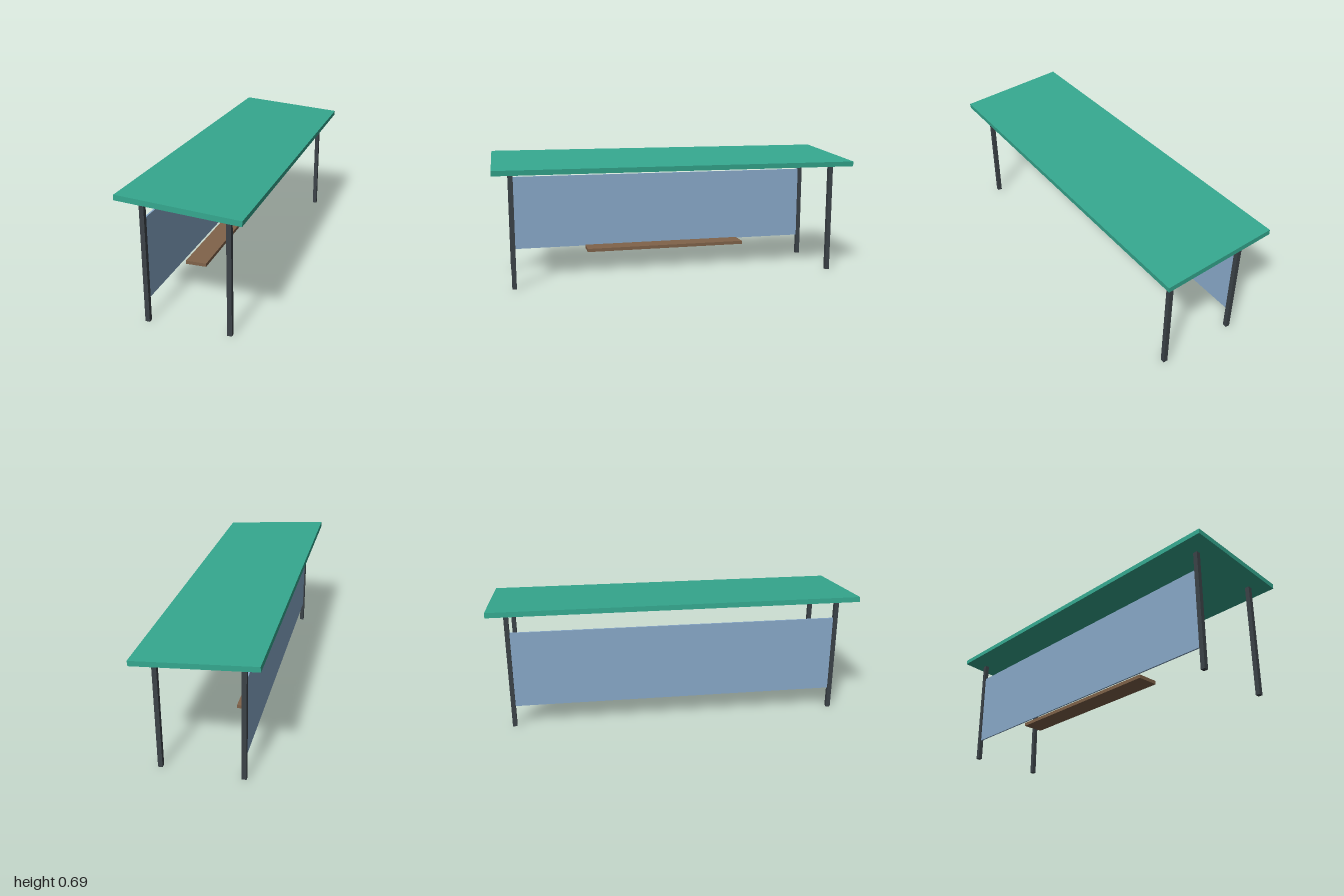
import * as THREE from 'three';

export function createModel() {
  const model = new THREE.Group();
  model.name = 'shelter';

  const material = (name, color) => {
    const m = new THREE.MeshStandardMaterial({ color });
    m.name = name;
    return m;
  };
  const roofGreen = material('roof green', 0x35a88f);
  const postGrey = material('post grey', 0x3c4348);
  const panelBlue = material('panel blue', 0x8aabcb);
  const benchBrown = material('bench brown', 0x80634a);

  const box = (name, mat, [w, h, d], [x, y, z]) => {
    const mesh = new THREE.Mesh(new THREE.BoxGeometry(w, h, d), mat);
    mesh.name = name;
    mesh.position.set(x, y, z);
    model.add(mesh);
    return mesh;
  };

  // Sloping roof slab, lower on the open side
  const roof = box('roof', roofGreen, [0.6185, 0.0275, 2], [0, 0.6557, 0]);
  roof.rotation.z = -0.0795;

  // Four square posts; the open-side pair runs up into the roof
  const postHeight = 0.643;
  for (const x of [-0.215, 0.215]) {
    for (const z of [-0.904, 0.904]) {
      box('post', postGrey, [0.024, postHeight, 0.024], [x, postHeight / 2, z]);
    }
  }

  // Wind panel between the posts on the closed side
  box('sidePanel', panelBlue, [0.009, 0.428, 1.79], [-0.215, 0.334, 0]);

  // Bench plank
  box('bench', benchBrown, [0.118, 0.019, 0.95], [-0.132, 0.1195, 0]);

  return model;
}
